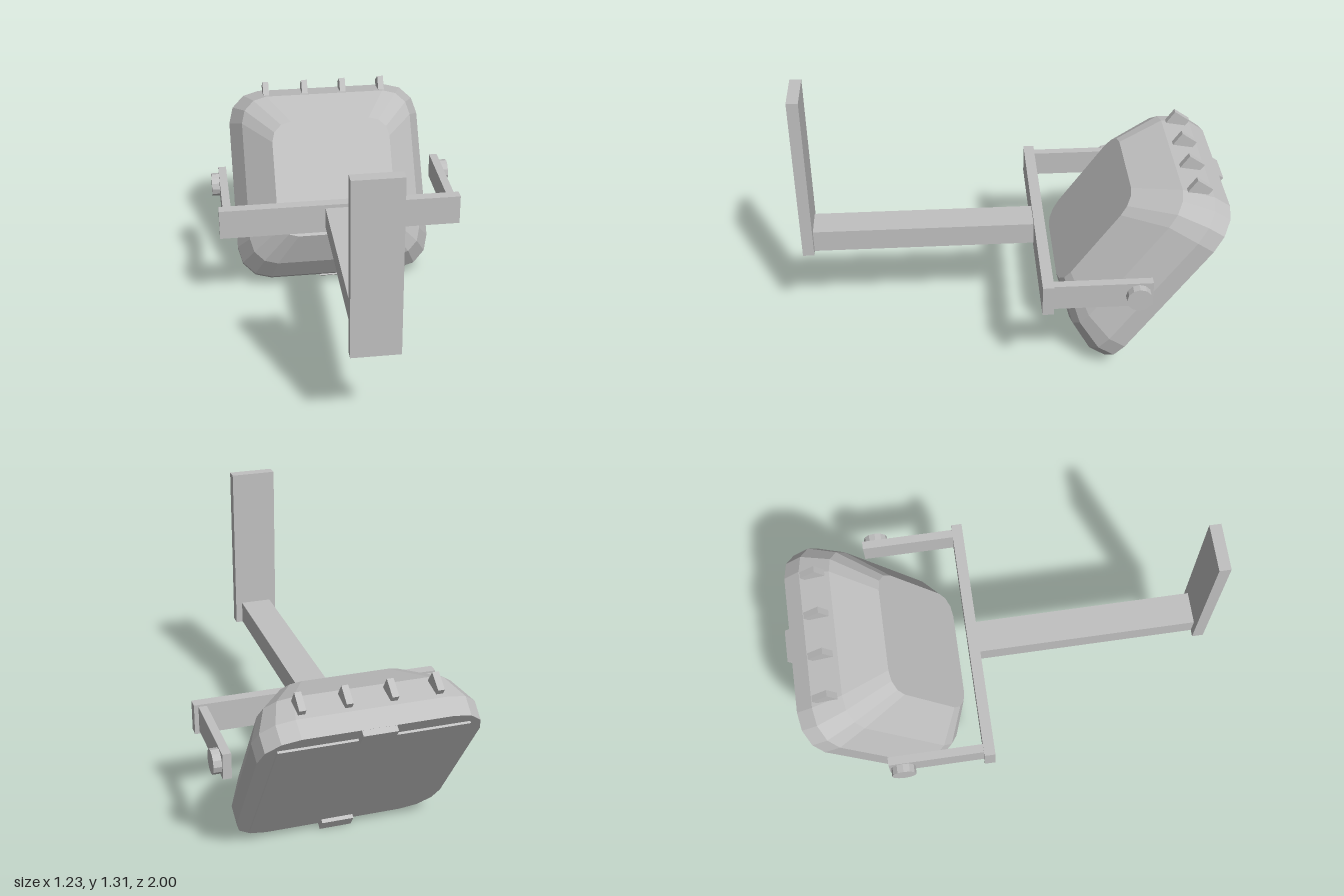
import * as THREE from 'three';

const metal = new THREE.MeshStandardMaterial({ color: 0xc0c0c0 });
metal.name = 'grey metal';

function add(group, name, geometry) {
  const mesh = new THREE.Mesh(geometry, metal);
  mesh.name = name;
  group.add(mesh);
  return mesh;
}

// Box given by its extents on each axis
function box(group, name, [x0, x1], [y0, y1], [z0, z1]) {
  const mesh = add(group, name, new THREE.BoxGeometry(x1 - x0, y1 - y0, z1 - z0));
  mesh.position.set((x0 + x1) / 2, (y0 + y1) / 2, (z0 + z1) / 2);
  return mesh;
}

// Rounded rectangle, counter-clockwise seen from +z
function ring({ z, cy, hx, hy, r }) {
  const points = [];
  const corners = [[1, 1], [-1, 1], [-1, -1], [1, -1]];
  corners.forEach(([sx, sy], k) => {
    for (let i = 0; i <= 3; i++) {
      const a = (k + i / 3) * Math.PI / 2;
      points.push(new THREE.Vector3(
        sx * (hx - r) + r * Math.cos(a), cy + sy * (hy - r) + r * Math.sin(a), z));
    }
  });
  return points;
}

// Faceted loft through the rings, closed at both ends
function loft(sections) {
  const rings = sections.map(ring);
  const n = rings[0].length;
  const v = [];
  for (let i = 0; i < rings.length - 1; i++) {
    for (let j = 0; j < n; j++) {
      const k = (j + 1) % n;
      const a = rings[i][j], b = rings[i][k], d = rings[i + 1][j], e = rings[i + 1][k];
      v.push(a, d, b, b, d, e);
    }
  }
  const first = rings[0], last = rings[rings.length - 1];
  for (let j = 1; j < n - 1; j++) {
    v.push(first[0], first[j], first[j + 1], last[0], last[j + 1], last[j]);
  }
  const geometry = new THREE.BufferGeometry().setFromPoints(v);
  geometry.computeVertexNormals();
  return geometry;
}

export function createModel() {
  const model = new THREE.Group();
  model.name = 'floodlight';

  // Wall plate, arm and U-shaped bracket
  const bracket = new THREE.Group();
  bracket.name = 'bracket';
  model.add(bracket);
  box(bracket, 'wallPlate', [-0.11, 0.11], [0.476, 1.31], [0.946, 1]);
  box(bracket, 'arm', [-0.077, 0.077], [0.478, 0.587], [-0.105, 0.946]);
  box(bracket, 'crossBar', [-0.597, 0.597], [0.455, 0.605], [-0.156, -0.104]);
  for (const s of [-1, 1]) {
    const sideArm = box(bracket, 'sideArm', [-0.02, 0.02], [0.47, 0.595], [-0.606, -0.156]);
    sideArm.position.x = s * 0.556;
    const knobShape = new THREE.CylinderGeometry(0.058, 0.058, 0.045, 12).toNonIndexed();
    knobShape.computeVertexNormals();
    const knob = add(bracket, 'knob', knobShape);
    knob.rotation.z = Math.PI / 2;
    knob.position.set(s * 0.592, 0.53, -0.54);
  }

  // Lamp head, built upright and tilted down
  const lamp = new THREE.Group();
  lamp.name = 'lampHead';
  lamp.rotation.x = -THREE.MathUtils.degToRad(35);
  model.add(lamp);
  add(lamp, 'housing', loft([
    { z: 0.05, cy: 0.722, hx: 0.3, hy: 0.293, r: 0.1 },
    { z: -0.1, cy: 0.746, hx: 0.44, hy: 0.435, r: 0.135 },
    { z: -0.232, cy: 0.7475, hx: 0.5, hy: 0.493, r: 0.165 },
    { z: -0.324, cy: 0.7475, hx: 0.497, hy: 0.493, r: 0.165 },
  ]));
  box(lamp, 'glass', [-0.425, 0.425], [0.324, 1.165], [-0.335, -0.315]);

  // Clips holding the glass
  box(lamp, 'lowerClip', [-0.077, 0.077], [0.247, 0.317], [-0.352, -0.315]);
  box(lamp, 'upperClip', [-0.077, 0.077], [1.17, 1.24], [-0.352, -0.315]);

  // Cooling fins
  for (const x of [-0.303, -0.1, 0.1, 0.303]) {
    box(lamp, 'fin', [x - 0.015, x + 0.015], [1.15, 1.263], [-0.209, -0.12]);
  }
  return model;
}
